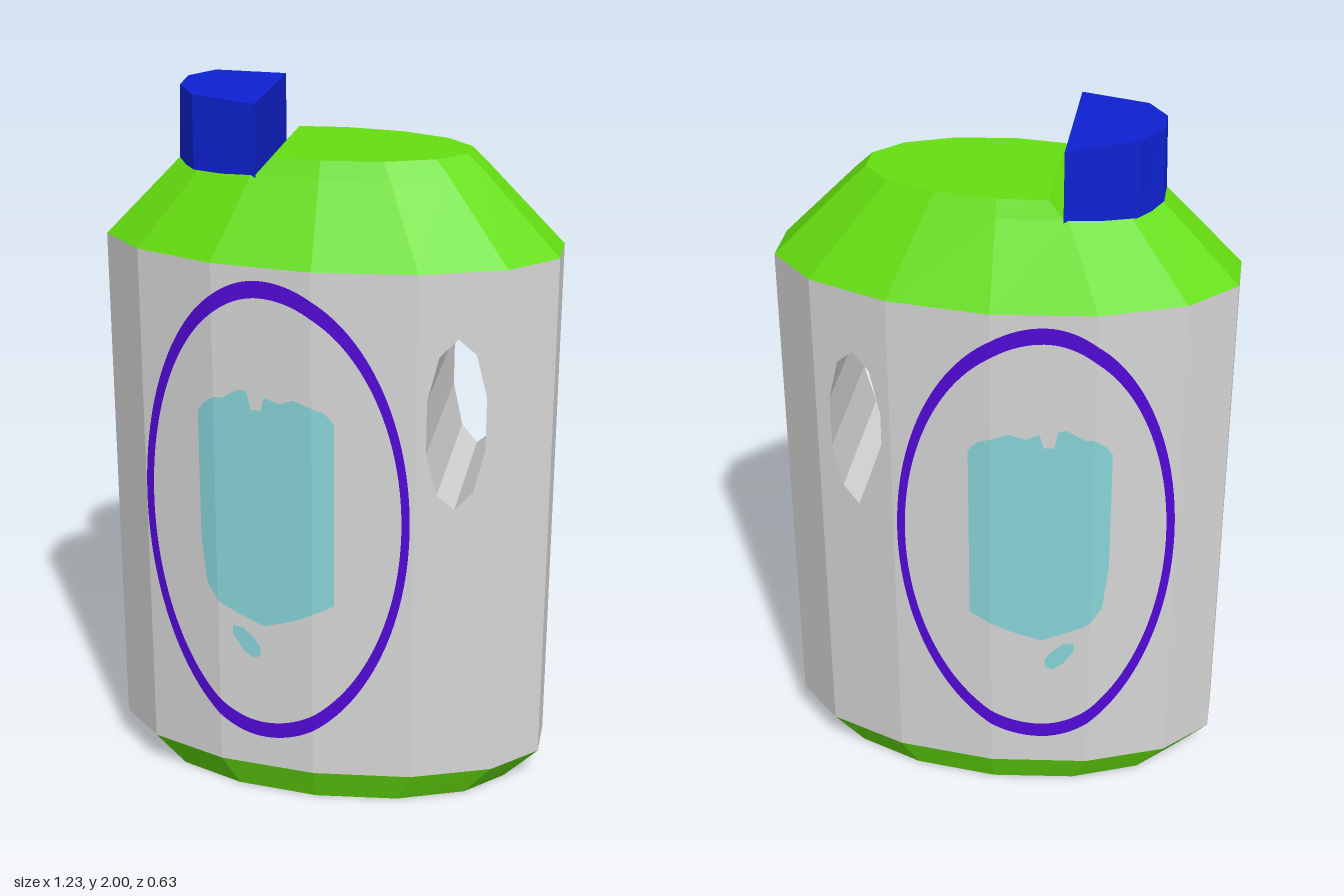
import * as THREE from 'three';
import { mergeGeometries } from 'three/addons/utils/BufferGeometryUtils.js';

const SIDES = 14, BODY_A = 0.63, BODY_B = 0.312, BODY_LOW = 0.1, BODY_TOP = 1.585;

const makeMaterial = (name, color) => {
  const m = new THREE.MeshStandardMaterial({ color });
  m.name = name;
  return m;
};

// Elliptical loop of corners, counter-clockwise seen from above
const ring = (a, b, y) => Array.from({ length: SIDES }, (_, k) => {
  const t = ((k + 0.5) * 2 * Math.PI) / SIDES;
  return [a * Math.cos(t), y, -b * Math.sin(t)];
});

// Flat-shaded geometry from a list of triangle corners
function fromCorners(corners) {
  const g = new THREE.BufferGeometry();
  g.setAttribute('position', new THREE.Float32BufferAttribute(corners.flat(), 3));
  g.computeVertexNormals();
  return g;
}

// Quads between two rows of points
function strip(A, B, closed = false, skip = []) {
  const out = [], n = A.length;
  for (let i = 0; i < (closed ? n : n - 1); i++) {
    if (skip.includes(i)) continue;
    const j = (i + 1) % n;
    out.push(A[i], A[j], B[j], A[i], B[j], B[i]);
  }
  return out;
}

function fan(loop, up) {
  const out = [];
  for (let i = 1; i < loop.length - 1; i++) {
    out.push(loop[0], ...(up ? [loop[i], loop[i + 1]] : [loop[i + 1], loop[i]]));
  }
  return out;
}

// Depth of the faceted body wall at a given x
const wall = ring(BODY_A, BODY_B, 0).slice(0, 4).map(([x, , z]) => [x, -z]);
function wallZ(x) {
  const ax = Math.abs(x);
  for (let i = 0; i < 3; i++) {
    const [x0, z0] = wall[i], [x1, z1] = wall[i + 1];
    if (ax >= x1 - 1e-6) return z0 + ((z1 - z0) * (ax - x0)) / (x1 - x0);
  }
  return BODY_B;
}

export function createModel() {
  const model = new THREE.Group();
  const grey = makeMaterial('bodyGrey', 0xd6d6d6);
  const green = makeMaterial('trimGreen', 0x66e010);
  const blue = makeMaterial('capBlue', 0x0e22d2);
  const purple = makeMaterial('labelPurple', 0x5209d8);
  const teal = makeMaterial('labelTeal', 0x88d4d8);
  const add = (name, geometry, material) => {
    const mesh = new THREE.Mesh(geometry, material);
    mesh.name = name;
    model.add(mesh);
  };

  // Chamfered base
  const foot = ring(0.53, 0.27, 0), low = ring(BODY_A, BODY_B, BODY_LOW);
  add('base', fromCorners([...fan(foot, false), ...strip(foot, low, true)]), green);

  // Body wall, leaving out the two facets pierced by the handle hole
  const top = ring(BODY_A, BODY_B, BODY_TOP);
  const walls = fromCorners(strip(low, top, true, [1, 11]));

  // Pierced facets
  const hole = Array.from({ length: 10 }, (_, k) => {
    const t = Math.PI / 2 + (k * Math.PI) / 5;
    return new THREE.Vector2(0.375 + 0.079 * Math.cos(t), 1.163 + 0.242 * Math.sin(t));
  });
  const xIn = wall[2][0], xOut = wall[1][0];
  const panelShape = new THREE.Shape([[xIn, BODY_LOW], [xOut, BODY_LOW], [xOut, BODY_TOP], [xIn, BODY_TOP]]
    .map(([x, y]) => new THREE.Vector2(x, y)));
  panelShape.holes.push(new THREE.Path(hole));
  const flat = new THREE.ShapeGeometry(panelShape).toNonIndexed().getAttribute('position');
  const front = [], back = [];
  for (let i = 0; i < flat.count; i++) {
    const x = flat.getX(i), y = flat.getY(i);
    front.push([x, y, wallZ(x)]);
    back.unshift([x, y, -wallZ(x)]);
  }
  add('body', mergeGeometries([walls, fromCorners(front), fromCorners(back)]), grey);

  // Handle tunnel, facing inward
  const rim = (s) => hole.map((p) => [p.x, p.y, s * wallZ(p.x)]);
  add('handleTunnel', fromCorners(strip(rim(1), rim(-1), true)), grey);

  // Sloping shoulder with a flat shelf
  const shelf = ring(0.42, 0.205, 1.8);
  add('shoulder', fromCorners([...strip(top, shelf, true), ...fan(shelf, true)]), green);

  // Raised top, cut away beside the cap
  const cutLoop = (a, b, y, x, z) => {
    const r = ring(a, b, y);
    return [...r.slice(0, 4), [x, y, -z], [x, y, z], ...r.slice(10)];
  };
  const topLow = cutLoop(0.42, 0.205, 1.8, -0.17, 0.187);
  const topHigh = cutLoop(0.372, 0.185, 1.845, -0.13, 0.173);
  add('topPlate', fromCorners([...strip(topLow, topHigh, true), ...fan(topHigh, true)]), green);

  // Half-round cap with a slightly uneven top
  const capPlan = [[-0.17, 0.19, 1.985], [-0.17, -0.19, 1.985], [-0.35, -0.13, 2],
    [-0.41, -0.045, 2], [-0.41, 0.045, 1.995], [-0.35, 0.13, 1.99]];
  const capLow = capPlan.map(([x, z]) => [x, 1.79, z]);
  const capHigh = capPlan.map(([x, z, y]) => [x < -0.4 ? x + 0.006 : x, y, z]);
  add('cap', fromCorners([...fan(capLow, false), ...strip(capLow, capHigh, true), ...fan(capHigh, true)]), blue);

  // Labels hugging the wall on both faces
  const outer = [], inner = [];
  for (let i = 0; i < 144; i++) {
    const t = (i * Math.PI) / 72, c = Math.cos(t), s = Math.sin(t);
    const rx = c > 0 ? 0.402 : 0.35;
    outer.push([-0.14 + rx * c, 0.873 + 0.677 * s]);
    inner.push([-0.14 + (rx - 0.022) * c, 0.873 + 0.63 * s]);
  }
  // Columns of x, bottom, top
  const patch = [[-0.32, 0.8, 1.165], [-0.305, 0.66, 1.19], [-0.273, 0.61, 1.215], [-0.25, 0.595, 1.215],
    [-0.2, 0.573, 1.245], [-0.178, 0.564, 1.24], [-0.168, 0.56, 1.19], [-0.14, 0.55, 1.19],
    [-0.13, 0.552, 1.23], [-0.09, 0.565, 1.215], [-0.05, 0.58, 1.23], [0, 0.605, 1.213],
    [0.035, 0.622, 1.2], [0.06, 0.635, 1.17]];
  const drop = [[-0.23, 0.51, 0.54], [-0.2, 0.465, 0.535], [-0.17, 0.445, 0.51], [-0.15, 0.455, 0.48]];
  const decal = (name, A, B, closed, material) => {
    for (const s of [1, -1]) {
      const place = (row) => row.map(([x, y]) => [x, y, s * (wallZ(x) + 0.004)]);
      const [a, b] = s > 0 ? [A, B] : [B, A];
      add((s > 0 ? 'front' : 'back') + name, fromCorners(strip(place(a), place(b), closed)), material);
    }
  };
  const lower = (cols) => cols.map(([x, y]) => [x, y]);
  const upper = (cols) => cols.map(([x, , y]) => [x, y]);
  decal('LabelRing', outer, inner, true, purple);
  decal('LabelPatch', lower(patch), upper(patch), false, teal);
  decal('LabelDrop', lower(drop), upper(drop), false, teal);

  return model;
}
